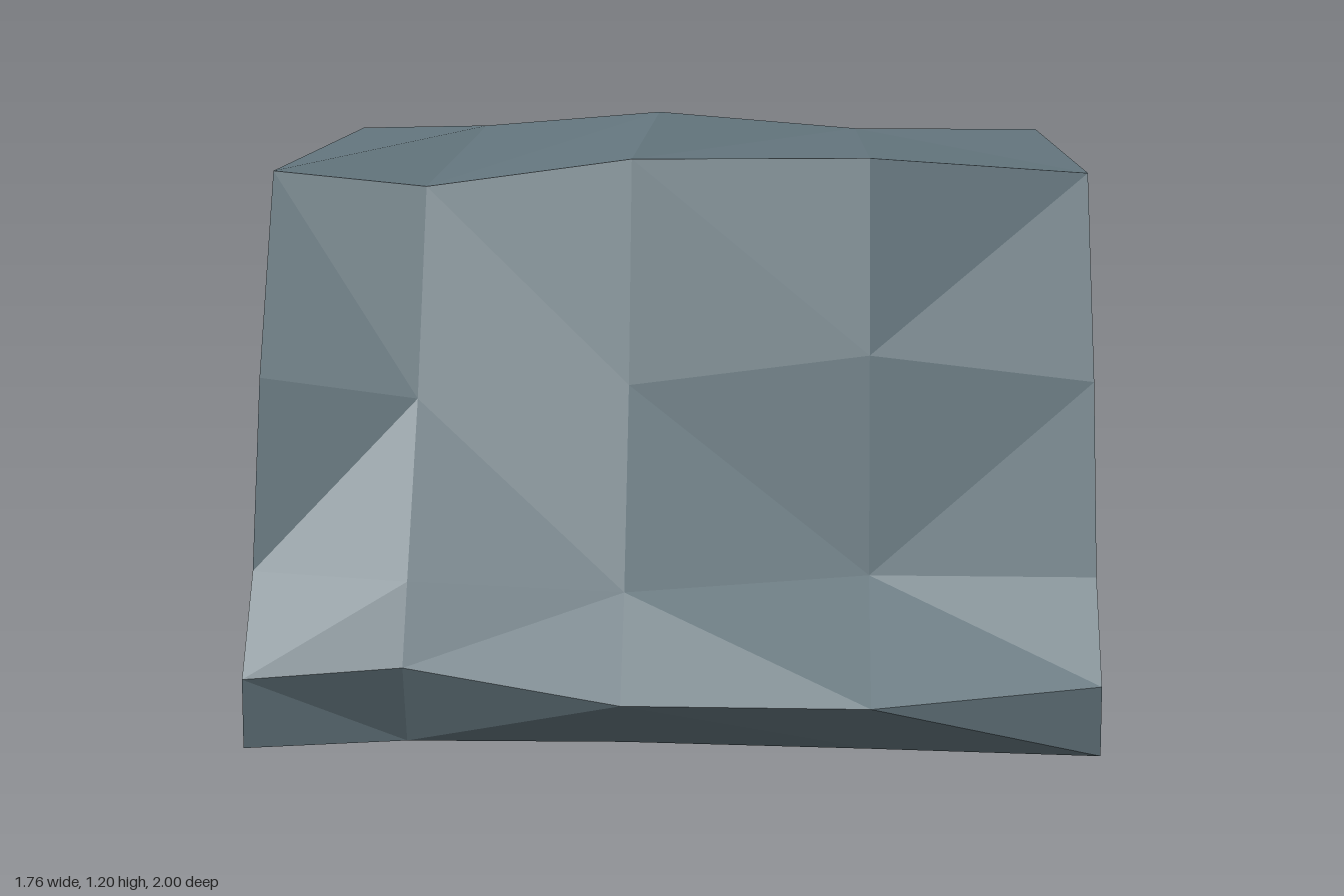
import * as THREE from 'three';

// Cross-sections along x; each lists [z, y] around the ring:
// bottom front, lip, lower face, upper face, top front, top back, bottom back
const END = [[0.95, 0], [0.95, 0.145], [0.8, 0.34], [0.67, 0.73], [0.445, 1.15], [-0.95, 1.15], [-0.95, 0]];
const SECTIONS = [
  { x: -0.88, ring: END },
  { x: -0.55, ring: [[0.88, 0], [0.94, 0.17], [0.845, 0.33], [0.625, 0.68], [0.42, 1.115], [-0.895, 1.16], [-0.97, 0]] },
  { x: -0.1, ring: [[0.875, 0], [0.985, 0.105], [0.82, 0.305], [0.615, 0.71], [0.475, 1.18], [-0.92, 1.195], [-1, 0]] },
  { x: 0.41, ring: [[0.91, 0], [1, 0.107], [0.75, 0.33], [0.645, 0.78], [0.5, 1.185], [-0.97, 1.15], [-0.98, 0]] },
  { x: 0.88, ring: END },
];

// Direction of the facet split in each quad, one string per band of the ring
// (r = rising with x, f = falling with x)
const SPLITS = ['frff', 'rrff', 'rffr', 'fffr', 'rrrf', 'rrfr', 'rrrr'];

function createRockGeometry() {
  const positions = [];
  const point = (i, k) => {
    const [z, y] = SECTIONS[i].ring[k % 7];
    return [SECTIONS[i].x, y, z];
  };
  const triangle = (a, b, c) => positions.push(...a, ...b, ...c);

  // Faceted skin between neighbouring sections
  SPLITS.forEach((row, k) => {
    for (let i = 0; i < 4; i++) {
      const a = point(i, k), b = point(i + 1, k);
      const c = point(i + 1, k + 1), d = point(i, k + 1);
      if (row[i] === 'r') {
        triangle(a, b, c);
        triangle(a, c, d);
      } else {
        triangle(a, b, d);
        triangle(b, c, d);
      }
    }
  });

  // Flat ends, fanned from the bottom back corner
  for (let k = 0; k < 5; k++) {
    triangle(point(0, 6), point(0, k), point(0, k + 1));
    triangle(point(4, 6), point(4, k + 1), point(4, k));
  }

  const geometry = new THREE.BufferGeometry();
  geometry.setAttribute('position', new THREE.Float32BufferAttribute(positions, 3));
  geometry.computeVertexNormals();
  return geometry;
}

export function createModel() {
  const slate = new THREE.MeshStandardMaterial({ color: 0x64767e });
  slate.name = 'slate';

  const rock = new THREE.Mesh(createRockGeometry(), slate);
  rock.name = 'cliffBlock';

  const model = new THREE.Group();
  model.name = 'cliff';
  model.add(rock);
  return model;
}
